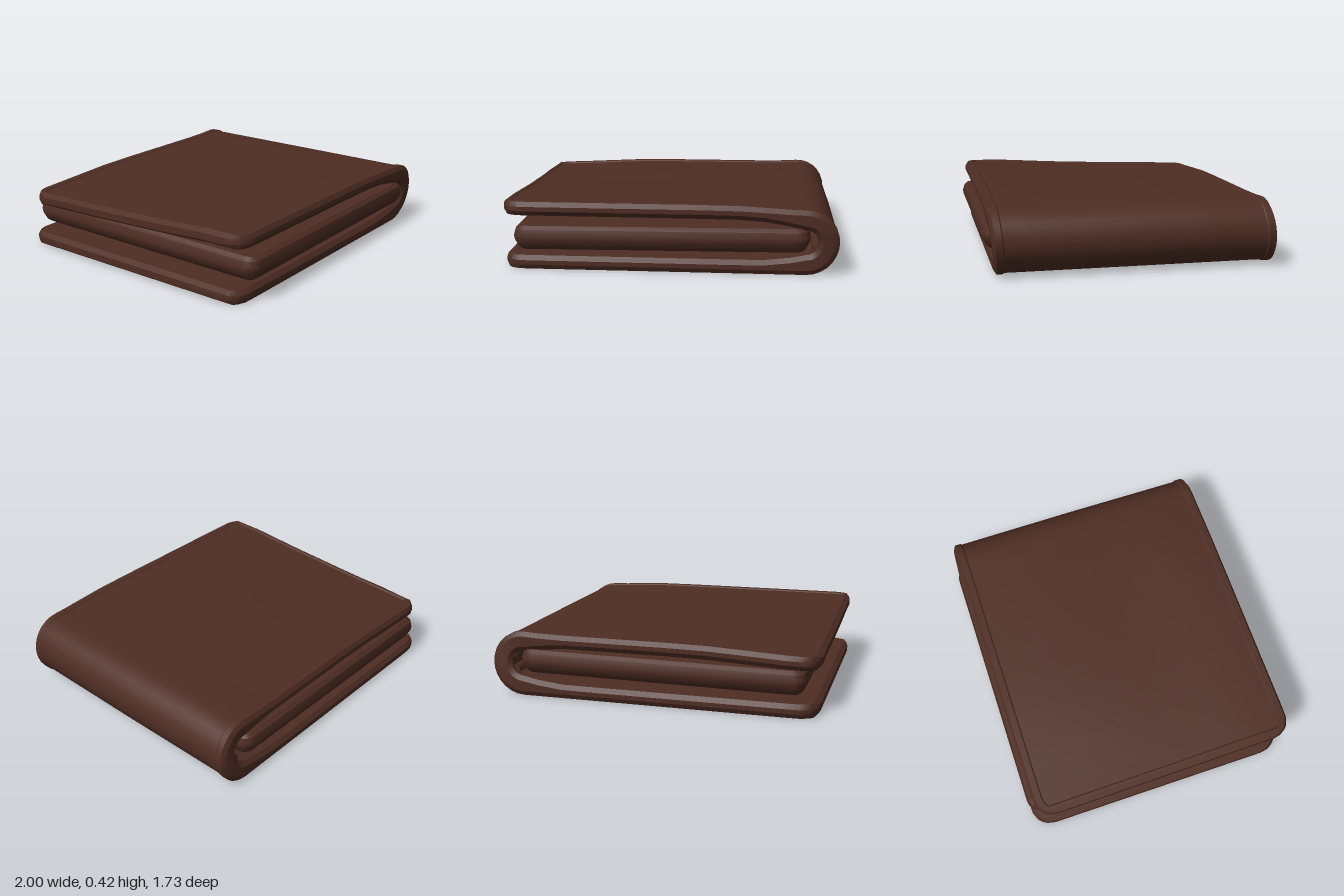
import * as THREE from 'three';
import { toCreasedNormals } from 'three/addons/utils/BufferGeometryUtils.js';

const leather = new THREE.MeshStandardMaterial({ color: 0x4e2d23 });
leather.name = 'brown leather';
const { smoothstep } = THREE.MathUtils;

// Skins a row of closed rings (arrays of [x, y, z]) and caps both ends.
function loft(name, rings) {
  const n = rings[0].length, pos = rings.flat(2), index = [];
  const centre = (ring) => [0, 1, 2].map((k) => ring.reduce((s, p) => s + p[k], 0) / n);
  const last = (rings.length - 1) * n, c0 = rings.length * n;
  pos.push(...centre(rings[0]), ...centre(rings[rings.length - 1]));
  for (let j = 0; j < n; j++) {
    const k = (j + 1) % n;
    for (let i = 0; i < last; i += n) {
      index.push(i + j, i + k, i + n + j, i + k, i + n + k, i + n + j);
    }
    index.push(c0, k, j, c0 + 1, last + j, last + k);
  }
  const geo = new THREE.BufferGeometry();
  geo.setAttribute('position', new THREE.Float32BufferAttribute(pos, 3));
  geo.setIndex(index);
  const mesh = new THREE.Mesh(toCreasedNormals(geo, 0.5), leather);
  mesh.name = name;
  return mesh;
}

// Uneven sag of the worn upper flap: high at the front, low at the back open corner.
function sag(x, z) {
  const front = 0.022 * smoothstep(z, 0.2, 0.65);
  const openEdge = 0.03 * smoothstep(-x, 0.2, 1) * smoothstep(-z, -0.4, 0.5);
  const back = 0.012 * smoothstep(-z, 0.5, 0.72) * (1 - smoothstep(x, 0.6, 0.9));
  return front * (1 - smoothstep(x, 0.3, 0.85)) - openEdge - back - 0.006;
}

// Folded cover: top flap, round spine on the +x side, bottom flap.
function cover() {
  const R = 0.2, cx = 0.795, cy = 0.205, corner = 0.12;
  const stations = [0, 0.01, 0.03, 0.045, 0.055, 0.1, 0.2, 0.4, 0.65, 0.9, 1.15, 1.4, 1.55, 1.7];
  const path = [];
  for (const e of stations) path.push({ x: -1 + e, y: cy + R, nx: 0, ny: 1, e });
  for (let i = 0; i <= 14; i++) {
    const a = Math.PI * (0.5 - i / 14), c = Math.cos(a), s = Math.sin(a);
    path.push({ x: cx + R * c, y: cy + R * s, nx: c, ny: s, e: 2 });
  }
  for (const e of [...stations].reverse()) path.push({ x: -1 + e, y: cy - R, nx: 0, ny: -1, e });

  const rings = path.map(({ x, y, nx, ny, e }) => {
    const r = Math.max(0, corner - e);
    const w = 0.835 - corner + Math.sqrt(corner * corner - r * r);
    const t = 0.083 + 0.037 * smoothstep(e, 1.5, 1.9);
    const end = Math.max(0, 0.03 - e) * 0.7;            // bevel of the open edge
    const dip = e < 0.05 ? end : 0.007;                 // panel sunk inside the raised hem
    const half = [[w, 0.028], [w - 0.016, end], [w - 0.055, end], [w - 0.062, dip],
      [w * 0.75, dip], [w * 0.5, dip], [w * 0.25, dip]];
    const under = [[w, t - 0.028], [w - 0.02, t - end], [w * 0.75, t - end], [w * 0.4, t - end]];
    const mirror = (list) => list.map(([z, d]) => [-z, d]);
    const section = [...mirror(half), [0, dip], ...[...half].reverse(), ...under, ...mirror(under).reverse()];
    return section.map(([z, d]) => {
      const lift = Math.max(0, ny) * sag(x, z);
      const shift = -0.01 + 0.015 * ny;                 // lower flap sits a little further back
      return [x - nx * d - 0.01 * nx * Math.max(0, z), y - ny * d + lift, z + shift];
    });
  });
  return loft('foldedCover', rings);
}

// Horizontal pad with rounded corners; levels are [y, inset] from bottom to top.
function pad(name, x0, x1, halfZ, radius, levels, tilt) {
  const mid = (x0 + x1) / 2, halfX = (x1 - x0) / 2;
  const rings = levels.map(([y, inset]) => {
    const ring = [];
    for (let q = 0; q < 4; q++) {
      for (let i = 0; i <= 4; i++) {
        const a = (q + i / 4) * Math.PI / 2;
        const sx = q === 0 || q === 3 ? 1 : -1, sz = q < 2 ? -1 : 1;
        const x = mid + sx * (halfX - radius) + (radius - inset) * Math.cos(a);
        const z = sz * (halfZ - radius) - (radius - inset) * Math.sin(a);
        ring.push([x, y + tilt * x, z]);
      }
    }
    return ring;
  });
  return loft(name, rings);
}

export function createModel() {
  const group = new THREE.Group();
  group.name = 'wallet';
  group.add(cover());

  // Inner card pockets, bulging at mid height
  group.add(pad('innerPockets', -0.93, 0.82, 0.866, 0.08, [
    [0.14, 0.05], [0.155, 0.028], [0.2, 0.004], [0.225, 0], [0.265, 0.012], [0.285, 0.035],
  ], 0.008));

  // Crumpled lining tucked inside the spine
  for (const [x, y, r] of [[0.862, 0.155, 0.03], [0.868, 0.25, 0.02]]) {
    const pleat = new THREE.Mesh(new THREE.CylinderGeometry(r, r, 1.6, 8), leather);
    pleat.name = 'spinePleat';
    pleat.rotation.x = Math.PI / 2;
    pleat.position.set(x, y, -0.01);
    group.add(pleat);
  }
  return group;
}
